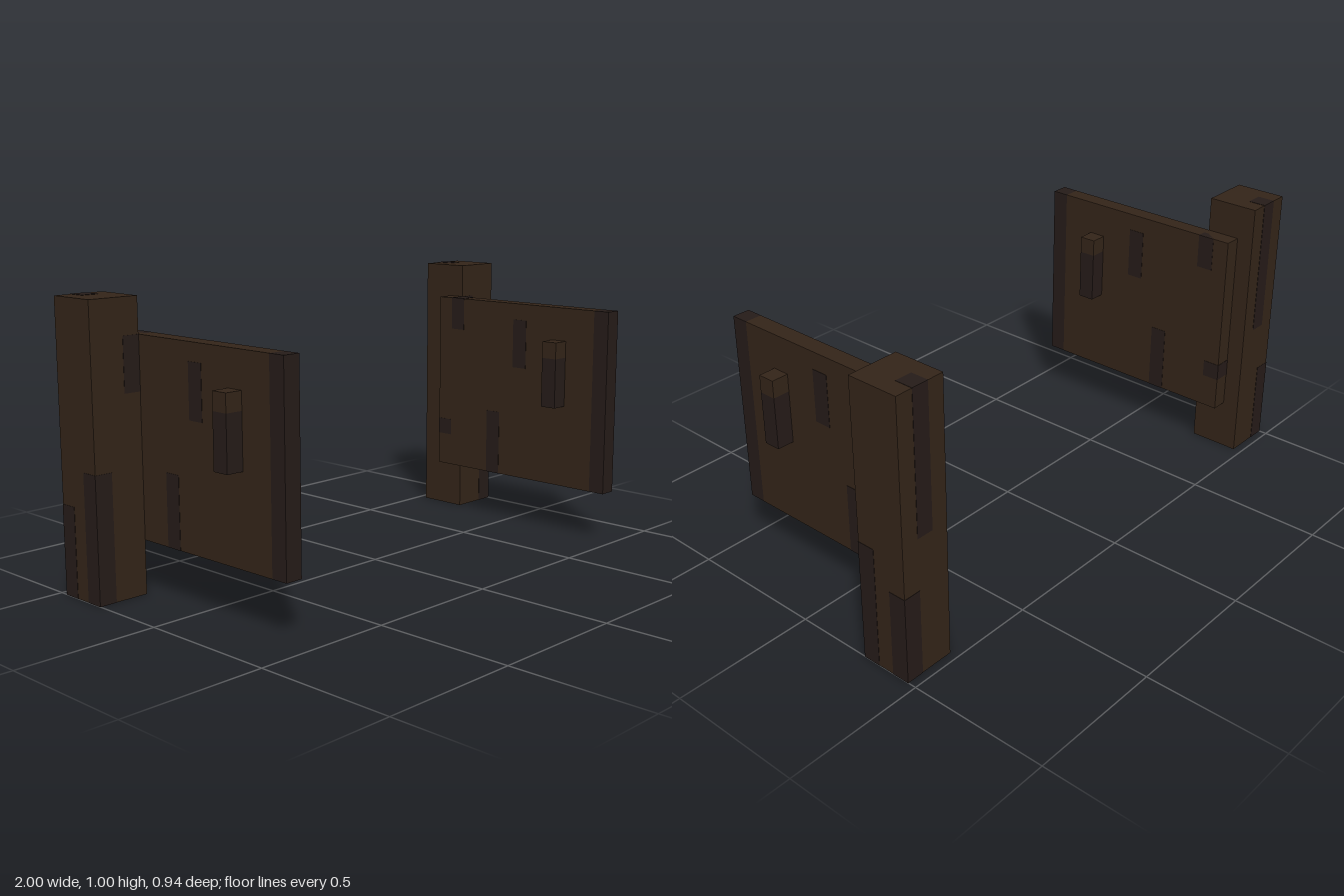
import * as THREE from 'three';

const U = 1 / 16; // everything is laid out on a 1/16 grid
const wood = new THREE.MeshStandardMaterial({ color: 0x332418 });
const darkWood = new THREE.MeshStandardMaterial({ color: 0x251b18 });

// Box between two grid corners; x is mirrored by side, lift raises a stain off the wood
function box(name, material, side, [x0, x1], [y0, y1], [z0, z1], lift = [0, 0, 0]) {
  const size = [x1 - x0, y1 - y0, z1 - z0].map((s, i) => s * U + 2 * lift[i]);
  const mesh = new THREE.Mesh(new THREE.BoxGeometry(...size), material);
  mesh.position.set((side * (x0 + x1) * U) / 2, ((y0 + y1) * U) / 2, ((z0 + z1) * U) / 2);
  mesh.name = name;
  return mesh;
}

const E = 0.0012;

function createPost(side) {
  const post = new THREE.Group();
  post.name = side > 0 ? 'leftPost' : 'rightPost';
  const stain = (x, y, z, lift) => box('postStain', darkWood, side, x, y, z, lift);
  post.add(
    box('postBeam', wood, side, [13, 16], [0, 16], [-7.5, -4.5]),
    // dark grain wrapping the outer corners
    stain([15, 16], [0, 7], [-5.5, -4.5], [E, 0, E]),
    stain([15, 16], [0, 5], [-7.5, -6.5], [E, 0, E]),
    // grain down the back, running over the top
    stain([14, 15], [8, 16], [-7.5, -6.5], [0, E, E]),
    // mark on the front beside the hinge
    stain([13, 14], [11, 14], [-5.5, -4.5], [0, 0, E])
  );
  return post;
}

function createDoor(side) {
  const door = new THREE.Group();
  door.name = side > 0 ? 'leftDoor' : 'rightDoor';
  const front = side > 0 ? 7.5 : 6.5; // the right door hangs one step further back
  const span = (a, b) => [front - b, front - a];
  const stain = (x, y, z, lift) => box('doorStain', darkWood, side, x, y, z, lift);
  door.add(
    box('doorPanel', wood, side, [12, 13], [3, 14], span(1, 13)),
    box('doorEdge', darkWood, side, [12, 13], [3, 14], span(0, 1)),
    // grain visible on both faces
    stain([12, 13], [10, 13], span(6, 7), [E, 0, 0]),
    stain([12, 13], [3, 7], span(8, 9), [E, 0, 0]),
    // inner grain near the hinge, and one wrapping the back end
    stain([12, 12.5], [12, 14], span(11, 12), [E, 0, 0]),
    stain([12, 13], [5, 6], span(12, 13), [E, 0, E])
  );
  if (side > 0) door.add(stain([12, 13], [13.5, 14], span(11, 12), [0, E, 0]));
  // handle passing through the panel
  const handle = new THREE.Group();
  handle.name = 'handle';
  handle.add(
    box('handleGrip', darkWood, side, [11, 14], [8, 11], span(3, 4)),
    box('handleCap', wood, side, [11, 14], [11, 12], span(3, 4))
  );
  door.add(handle);
  return door;
}

export function createModel() {
  const gate = new THREE.Group();
  gate.name = 'openGate';
  for (const side of [1, -1]) gate.add(createPost(side), createDoor(side));
  return gate;
}
